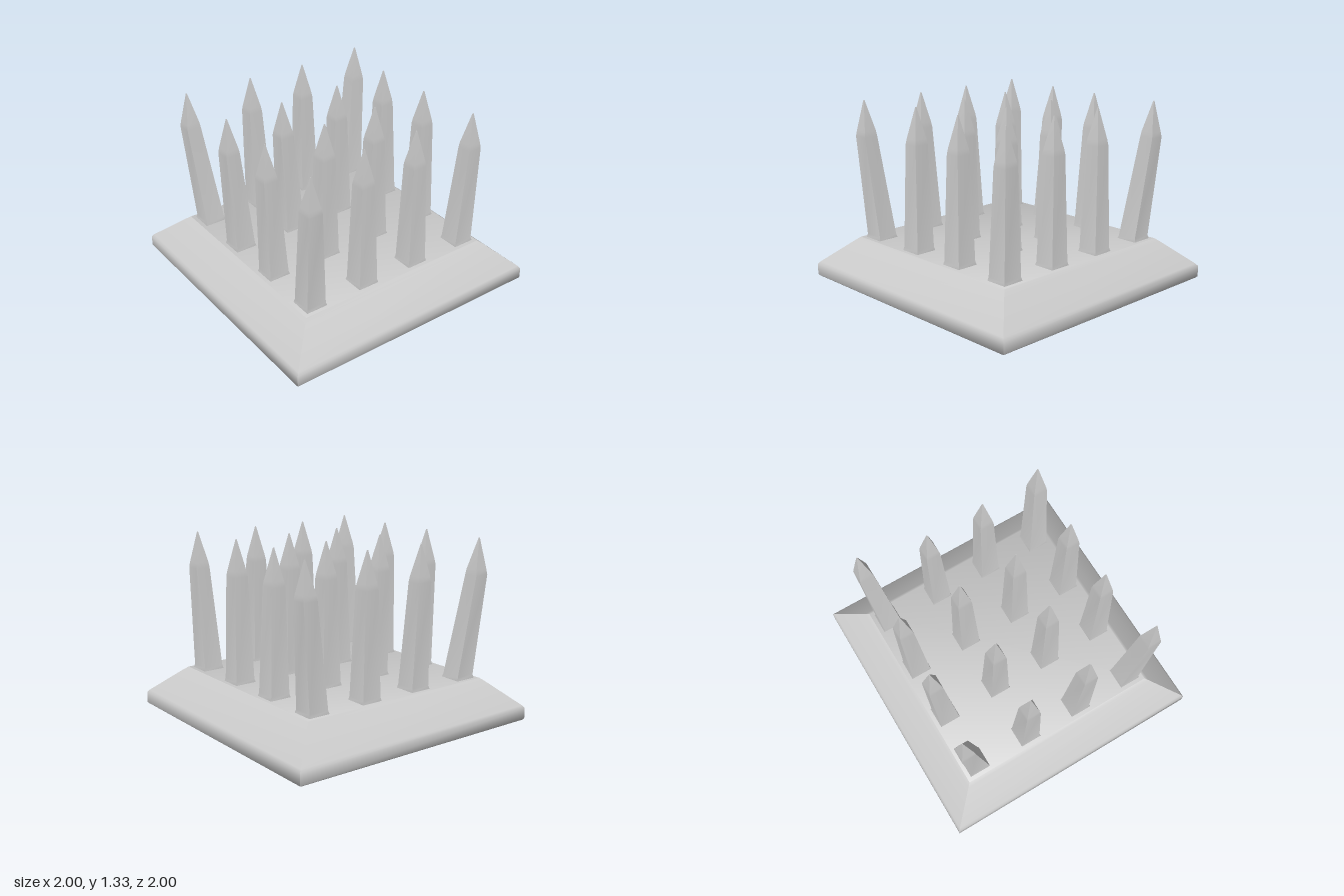
import * as THREE from 'three';
import { toCreasedNormals } from 'three/addons/utils/BufferGeometryUtils.js';

const CORNERS = [[-1, 1], [1, 1], [1, -1], [-1, -1]];

// Closed solid through square rings, each given as [half width, y, centre x, centre z]
function squareLoft(rings) {
  const positions = [];
  const index = [];
  for (const [half, y, cx = 0, cz = 0] of rings) {
    for (const [sx, sz] of CORNERS) positions.push(cx + sx * half, y, cz + sz * half);
  }
  for (let r = 0; r < rings.length - 1; r++) {
    for (let k = 0; k < 4; k++) {
      const a = r * 4 + k;
      const b = r * 4 + (k + 1) % 4;
      index.push(a, b, b + 4, a, b + 4, a + 4);
    }
  }
  const t = (rings.length - 1) * 4;
  index.push(0, 2, 1, 0, 3, 2, t, t + 1, t + 2, t, t + 2, t + 3);
  const geometry = new THREE.BufferGeometry();
  geometry.setAttribute('position', new THREE.Float32BufferAttribute(positions, 3));
  geometry.setIndex(index);
  return toCreasedNormals(geometry, THREE.MathUtils.degToRad(50));
}

// Tip position [x, z] of every spike, rows from back to front
const TIPS = [
  [[-0.725, -0.75], [-0.22, -0.705], [0.225, -0.68], [0.75, -0.715]],
  [[-0.705, -0.235], [-0.26, -0.23], [0.215, -0.225], [0.65, -0.23]],
  [[-0.695, 0.225], [-0.215, 0.215], [0.215, 0.215], [0.66, 0.215]],
  [[-0.7, 0.74], [-0.22, 0.655], [0.215, 0.655], [0.695, 0.685]],
];
const GRID = [-0.655, -0.22, 0.215, 0.655];

export function createModel() {
  const model = new THREE.Group();
  model.name = 'spikeTrap';
  const material = new THREE.MeshStandardMaterial({ color: 0xcccccc });

  // Square plinth with sloping sides and softened edges
  const plinth = new THREE.Mesh(squareLoft([
    [0.99, 0], [1, 0.01], [1, 0.09], [0.985, 0.11], [0.79, 0.285], [0.765, 0.305],
  ]), material);
  plinth.name = 'plinth';
  model.add(plinth);

  // Four by four spikes, the outer ones leaning outwards
  const spikes = new THREE.Group();
  spikes.name = 'spikes';
  GRID.forEach((z, row) => GRID.forEach((x, col) => {
    const [tx, tz] = TIPS[row][col];
    const shoulderX = x + (tx - x) * 0.9;
    const shoulderZ = z + (tz - z) * 0.9;
    const spike = new THREE.Mesh(squareLoft([
      [0.08, 0.295, x, z],
      [0.08, 0.307, x, z],
      [0.074, 0.33, x, z],
      [0.054, 1.07, shoulderX, shoulderZ],
      [0.048, 1.11, shoulderX, shoulderZ],
      [0.003, 1.33, tx, tz],
    ]), material);
    spike.name = `spikeRow${row + 1}Column${col + 1}`;
    spikes.add(spike);
  }));
  model.add(spikes);
  return model;
}
